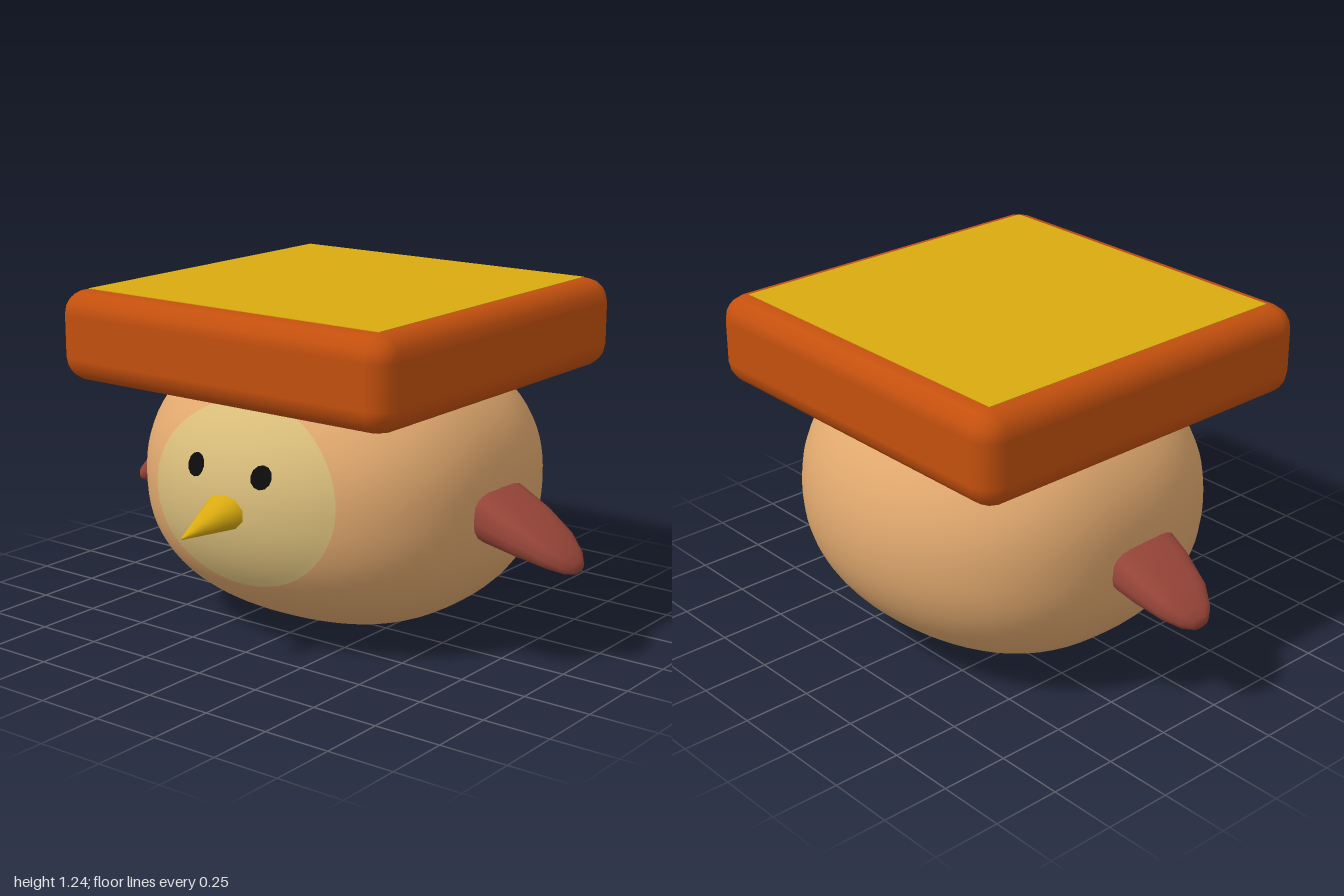
import * as THREE from 'three';
import { mergeVertices } from 'three/addons/utils/BufferGeometryUtils.js';
import { RoundedBoxGeometry } from 'three/addons/geometries/RoundedBoxGeometry.js';

const mat = (name, color) => {
  const m = new THREE.MeshStandardMaterial({ color });
  m.name = name;
  return m;
};

// Body: a slightly boxy ellipsoid
const C = new THREE.Vector3(-0.025, 0.53, -0.11);
const R = new THREE.Vector3(0.71, 0.53, 0.69);

// Distance to the boxy unit sphere along a direction
function reach(n) {
  const p = 2.1 + 0.3 * n.x * n.x / (n.x * n.x + n.z * n.z + 1e-6);
  return Math.pow(Math.abs(n.x) ** p + Math.abs(n.y) ** p + Math.abs(n.z) ** p, -1 / p);
}

// Front surface depth of the body at a given x, y
function surfaceZ(x, y) {
  let lo = 0, hi = 1;
  for (let i = 0; i < 30; i++) {
    const z = (lo + hi) / 2;
    const v = new THREE.Vector3((x - C.x) / R.x, (y - C.y) / R.y, z);
    const len = v.length();
    if (len < reach(v.normalize())) lo = z; else hi = z;
  }
  return C.z + R.z * lo;
}

// Moves every vertex by a rule and rebuilds smooth normals
function reshape(geometry, rule) {
  geometry.deleteAttribute('uv');
  geometry.deleteAttribute('normal');
  const pos = geometry.attributes.position;
  const v = new THREE.Vector3();
  for (let i = 0; i < pos.count; i++) {
    v.fromBufferAttribute(pos, i);
    rule(v);
    pos.setXYZ(i, v.x, v.y, v.z);
  }
  const merged = mergeVertices(geometry, 1e-5);
  merged.computeVertexNormals();
  return merged;
}

// Thin elliptical marking that follows the front of the body
function marking(cx, cy, rx, ry, lift, rings, sides) {
  return reshape(new THREE.RingGeometry(0, 1, sides, rings), v => {
    const x = cx + v.x * rx, y = cy + v.y * ry;
    v.set(x, y, surfaceZ(x, y) + lift);
  });
}

// Wing: rings of x, top y, bottom y, half depth
function wingGeometry(side) {
  const stations = [
    [0.58, 0.635, 0.41, 0.165], [0.66, 0.605, 0.4, 0.16], [0.8, 0.53, 0.372, 0.145],
    [0.91, 0.46, 0.35, 0.115], [0.97, 0.41, 0.338, 0.075], [0.995, 0.38, 0.34, 0.04],
    [1.0, 0.36, 0.36, 0]
  ];
  const N = 20, points = [], index = [];
  for (const [x, top, bottom, depth] of stations) {
    for (let j = 0; j < N; j++) {
      const a = j / N * Math.PI * 2;
      const c = Math.cos(a), s = Math.sin(a);
      // Squarer along the upper edge, rounder below
      const e = s > 0 ? 0.6 : 0.9;
      const y = Math.sign(s) * Math.abs(s) ** e;
      const z = Math.sign(c) * Math.abs(c) ** e;
      points.push(side * x, (top + bottom) / 2 + y * (top - bottom) / 2, -0.085 + z * depth);
    }
  }
  for (let i = 0; i < stations.length - 1; i++) {
    for (let j = 0; j < N; j++) {
      const a = i * N + j, b = i * N + (j + 1) % N, c = a + N, d = b + N;
      if (side > 0) index.push(a, c, b, b, c, d);
      else index.push(a, b, c, b, d, c);
    }
  }
  const g = new THREE.BufferGeometry();
  g.setAttribute('position', new THREE.Float32BufferAttribute(points, 3));
  g.setIndex(index);
  const merged = mergeVertices(g, 1e-5);
  merged.computeVertexNormals();
  return merged;
}

export function createModel() {
  const group = new THREE.Group();
  const tan = mat('tan', 0xe0a86e);
  const cream = mat('cream', 0xd8bc7a);
  const orange = mat('orange', 0xc4500e);
  const yellow = mat('yellow', 0xd9aa10);
  const brown = mat('reddish brown', 0x9c473a);
  const black = mat('black', 0x0c0c0c);

  const add = (name, geometry, material) => {
    const mesh = new THREE.Mesh(geometry, material);
    mesh.name = name;
    group.add(mesh);
    return mesh;
  };

  add('body', reshape(new THREE.SphereGeometry(1, 64, 48), v => {
    v.normalize();
    v.multiplyScalar(reach(v)).multiply(R).add(C);
  }), tan);

  // Face
  add('facePatch', marking(-0.01, 0.575, 0.395, 0.325, 0.006, 12, 48), cream);
  add('rightEye', marking(-0.165, 0.675, 0.041, 0.041, 0.012, 2, 12), black);
  add('leftEye', marking(0.125, 0.675, 0.041, 0.041, 0.012, 2, 12), black);

  // Beak droops slightly towards its tip
  const beak = new THREE.CylinderGeometry(0.04, 1, 1, 10, 4);
  add('beak', reshape(beak, v => {
    const t = v.y + 0.5;
    v.set(-0.02 + v.x * 0.117, 0.549 - 0.057 * t - v.z * 0.085, 0.5 + 0.3 * t);
  }), yellow);

  // Wings
  add('leftWing', wingGeometry(1), brown);
  add('rightWing', wingGeometry(-1), brown);

  // Square slab on the head with inset panels above and below
  add('slab', new RoundedBoxGeometry(1.45, 0.33, 1.45, 2, 0.088), orange)
    .position.set(-0.025, 1.071, -0.085);
  for (const [name, y] of [['topPanel', 1.235], ['bottomPanel', 0.907]]) {
    add(name, new THREE.BoxGeometry(1.275, 0.006, 1.275), yellow).position.set(-0.025, y, -0.085);
  }
  return group;
}
